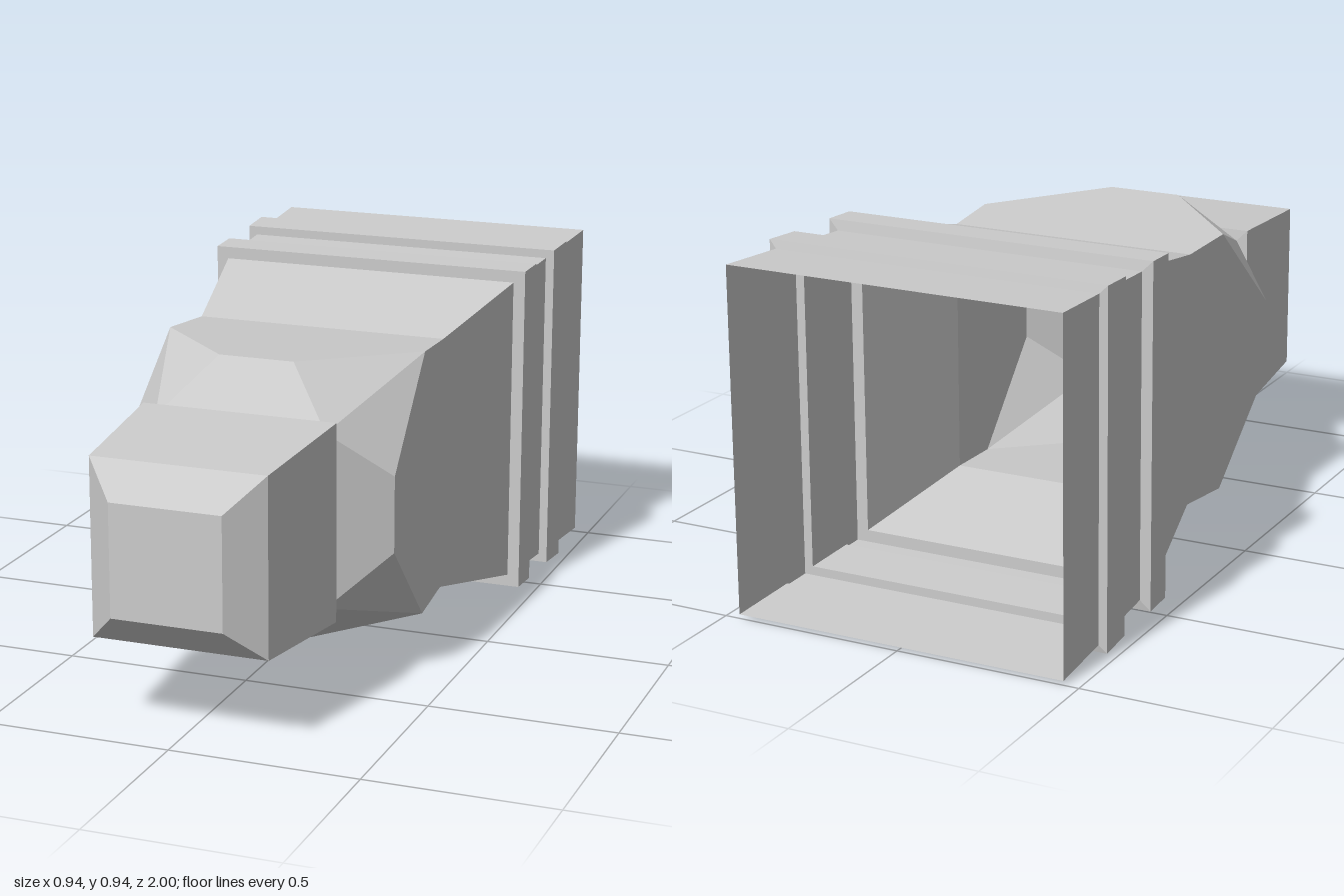
import * as THREE from 'three';

const CENTRE_Y = 0.47;
const material = new THREE.MeshStandardMaterial({
  color: 0xcccccc, flatShading: true, side: THREE.DoubleSide,
});

// Repeats one side's triangles four times around the long (z) axis
function fourSided(name, triangles) {
  const pos = [];
  for (let k = 0; k < 4; k++) {
    const c = [1, 0, -1, 0][k], s = [0, 1, 0, -1][k];
    for (const tri of triangles)
      for (const [x, y, z] of tri) pos.push(x * c - y * s, x * s + y * c, z);
  }
  const geo = new THREE.BufferGeometry();
  geo.setAttribute('position', new THREE.Float32BufferAttribute(pos, 3));
  geo.computeVertexNormals();
  const mesh = new THREE.Mesh(geo, material);
  mesh.name = name;
  mesh.position.y = CENTRE_Y;
  return mesh;
}

const quad = (a, b, c, d) => [[a, b, c], [a, c, d]];

// Square tube through a profile of [z, half width], listed back to front
function squareTube(name, profile) {
  const tris = [];
  for (let i = 0; i < profile.length - 1; i++) {
    const [z0, h0] = profile[i], [z1, h1] = profile[i + 1];
    tris.push(...quad([-h1, h1, z1], [h1, h1, z1], [h0, h0, z0], [-h0, h0, z0]));
  }
  return fourSided(name, tris);
}

// Faceted head: flat sides, sloped front faces and cut corners
function chamferedHead() {
  const back = 0.348;
  const backL = [-back, back, -0.045], backR = [back, back, -0.045];
  const cornerL = [-0.36, 0.36, 0.14], cornerR = [0.36, 0.36, 0.14];
  const noseL = [-0.102, 0.376, 0.415], noseR = [0.102, 0.376, 0.415];
  const rimL = [-0.232, 0.232, 0.53], rimR = [0.232, 0.232, 0.53];
  const sideR = [0.376, 0.102, 0.415];
  return fourSided('chamferedHead', [
    ...quad(cornerL, cornerR, backR, backL),
    ...quad(noseL, noseR, cornerR, cornerL),
    ...quad(rimL, rimR, noseR, noseL),
    ...quad(rimR, sideR, cornerR, noseR),
  ]);
}

export function createModel() {
  const group = new THREE.Group();
  group.name = 'steppedSquareNozzle';

  // Open rear sleeve and the two raised collars
  group.add(squareTube('rearSleeve', [[-1, 0.459], [-0.79, 0.449]]));
  group.add(squareTube('rearCollar', [
    [-0.79, 0.449], [-0.785, 0.47], [-0.677, 0.465], [-0.677, 0.441],
  ]));
  group.add(squareTube('middleSleeve', [[-0.677, 0.441], [-0.52, 0.433]]));
  group.add(squareTube('frontCollar', [
    [-0.52, 0.433], [-0.515, 0.461], [-0.42, 0.458], [-0.42, 0.425],
  ]));

  // Narrowing neck leading into the faceted head
  group.add(squareTube('taperedNeck', [[-0.42, 0.425], [-0.045, 0.348]]));
  group.add(chamferedHead());

  // Closed front block with bevelled tip
  group.add(squareTube('frontBlock', [
    [0.53, 0.232], [0.533, 0.263], [0.92, 0.234], [1, 0.148], [1, 0],
  ]));
  return group;
}
